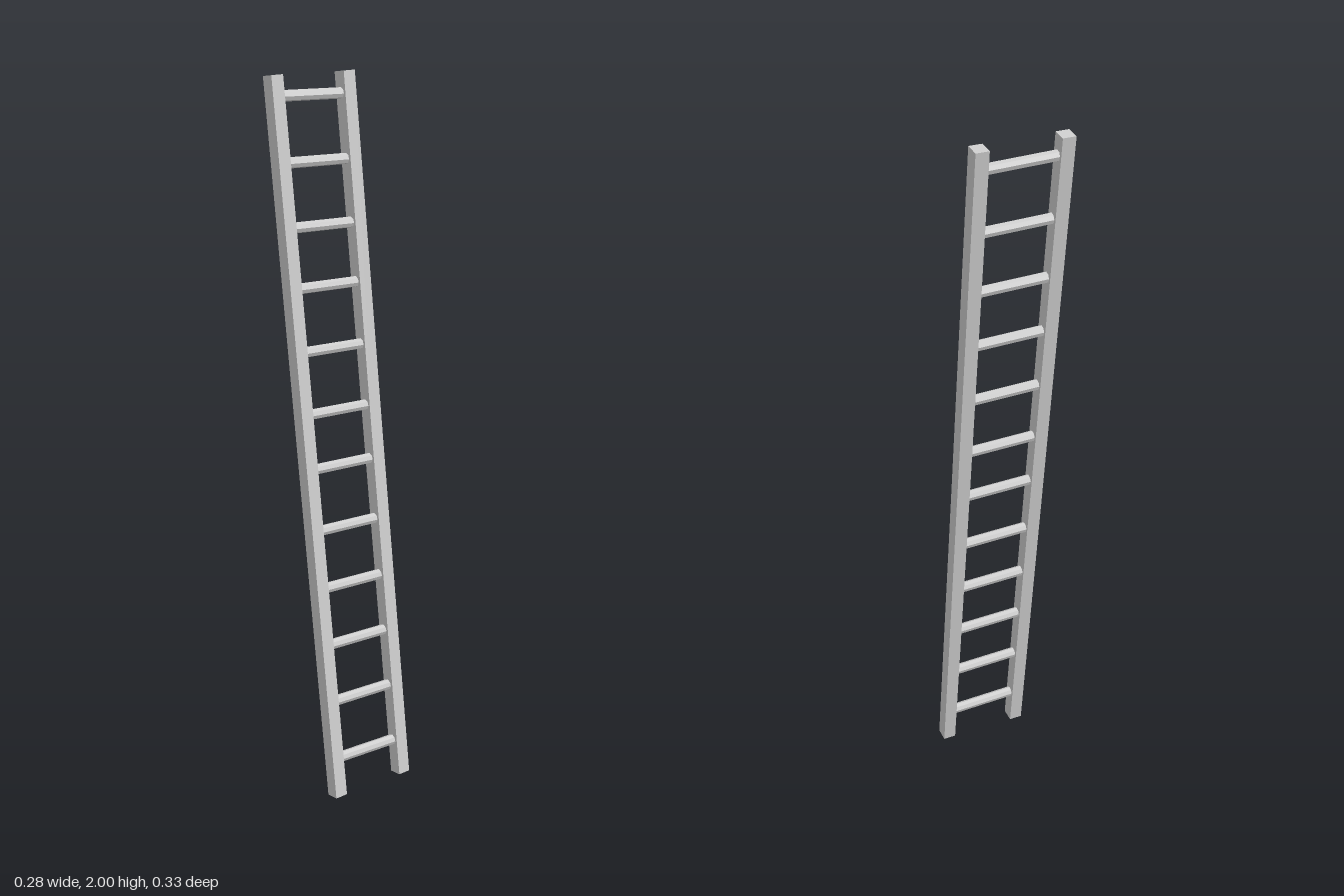
import * as THREE from 'three';

const material = new THREE.MeshStandardMaterial({ color: 0xcccccc, flatShading: true });

// Square rail lofted through sections [xMin, xMax, zBack, zFront, yBack, yFront]
function makeRail(name, sections) {
  const position = [], index = [];
  for (const [x0, x1, zb, zf, yb, yf] of sections) {
    position.push(x0, yf, zf, x1, yf, zf, x1, yb, zb, x0, yb, zb);
  }
  for (let s = 0; s < sections.length - 1; s++) {
    for (let i = 0; i < 4; i++) {
      const a = s * 4 + i, b = s * 4 + (i + 1) % 4;
      index.push(a, b, b + 4, a, b + 4, a + 4);
    }
  }
  const t = (sections.length - 1) * 4;
  index.push(0, 2, 1, 0, 3, 2, t, t + 1, t + 2, t, t + 2, t + 3);
  const indexed = new THREE.BufferGeometry();
  indexed.setAttribute('position', new THREE.Float32BufferAttribute(position, 3));
  indexed.setIndex(index);
  const geometry = indexed.toNonIndexed();
  geometry.computeVertexNormals();
  const mesh = new THREE.Mesh(geometry, material);
  mesh.name = name;
  return mesh;
}

// Round rung between two points
function makeRung(name, from, to) {
  const axis = to.clone().sub(from);
  const mesh = new THREE.Mesh(new THREE.CylinderGeometry(0.015, 0.015, axis.length(), 8), material);
  mesh.position.copy(from).add(to).multiplyScalar(0.5);
  mesh.quaternion.setFromUnitVectors(new THREE.Vector3(0, 1, 0), axis.normalize());
  mesh.name = name;
  return mesh;
}

export function createModel() {
  const ladder = new THREE.Group();
  ladder.name = 'ladder';

  // Leaning side rails, the left one slightly warped at mid height
  ladder.add(
    makeRail('rightRail', [
      [-0.139, -0.101, 0.12, 0.158, 0.002, 0.008],
      [-0.127, -0.09, -0.168, -0.13, 1.994, 2.0],
    ]),
    makeRail('leftRail', [
      [0.087, 0.124, 0.127, 0.165, 0.0, 0.006],
      [0.092, 0.13, -0.017, 0.021, 0.995, 1.0],
      [0.1, 0.137, -0.162, -0.122, 1.99, 1.996],
    ]),
  );

  // Slightly unevenly spaced rungs, following the lean of the rails
  const heights = [0.11, 0.28, 0.447, 0.612, 0.777, 0.95, 1.102, 1.272, 1.442, 1.602, 1.77, 1.94];
  heights.forEach((y, i) => {
    const z = 0.142 - 0.144 * y;
    const x = -0.006 + 0.006 * y;
    ladder.add(makeRung(`rung${i + 1}`,
      new THREE.Vector3(x - 0.11, y + 0.004, z - 0.003),
      new THREE.Vector3(x + 0.11, y - 0.004, z + 0.003)));
  });
  return ladder;
}
